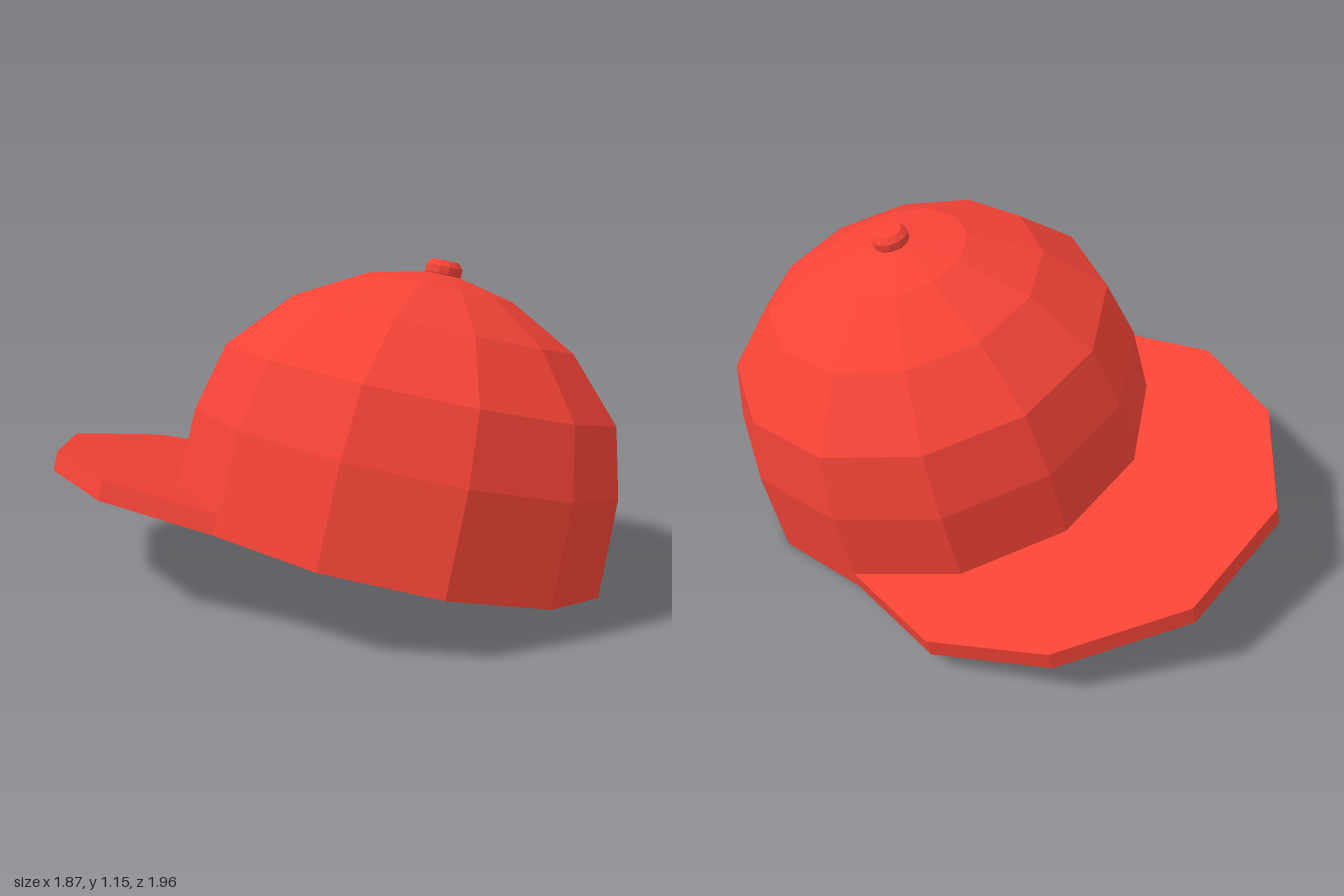
import * as THREE from 'three';

const SIDES = 12;
const rad = THREE.MathUtils.degToRad;

export function createModel() {
  const model = new THREE.Group();
  model.name = 'cap';
  const red = new THREE.MeshStandardMaterial({ color: 0xf44336, flatShading: true });

  // Twelve-sided ring profile, turned so a flat panel faces the brim (+z)
  const lathe = (name, points) => {
    const profile = points.map(([r, y]) => new THREE.Vector2(r, y));
    const mesh = new THREE.Mesh(
      new THREE.LatheGeometry(profile, SIDES, rad(15), Math.PI * 2), red);
    mesh.name = name;
    return mesh;
  };

  // Crown: hollow dome, inner wall down to the rim, then outer wall up
  const crown = lathe('crown', [
    [0, 0.9], [0.24, 0.85], [0.45, 0.73], [0.63, 0.54], [0.68, 0.33], [0.69, 0],
    [0.76, 0], [0.75, 0.34], [0.69, 0.575], [0.498, 0.78], [0.26, 0.907], [0, 0.965],
  ]);

  // Button on top
  const button = lathe('topButton', [
    [0.05, 0.93], [0.065, 0.955], [0.065, 0.98], [0.048, 1.0], [0, 1.0],
  ]);

  // Brim: flat plate, outer edge mirrored, inner edge following the crown
  const half = [[0.735, 0.2], [0.81, 0.63], [0.635, 1.015], [0.246, 1.3]];
  const outer = [...half, ...half.map(([x, y]) => [-x, y]).reverse()];
  const inner = [-45, -15, 15, 45].map(a =>
    [0.757 * Math.sin(rad(a)), 0.757 * Math.cos(rad(a))]);
  const shape = new THREE.Shape([...outer, ...inner].map(([x, y]) => new THREE.Vector2(x, y)));
  const brimGeometry = new THREE.ExtrudeGeometry(shape, { depth: 0.07, bevelEnabled: false });
  brimGeometry.rotateX(Math.PI / 2).translate(0, 0.07, 0);
  const brim = new THREE.Mesh(brimGeometry, red);
  brim.name = 'brim';

  // Turn the brim to the back right, then tip the cap onto its rim
  const turned = new THREE.Group();
  turned.name = 'turnedCap';
  turned.rotation.y = rad(215);
  turned.add(crown, button, brim);

  const tilted = new THREE.Group();
  tilted.name = 'tiltedCap';
  tilted.quaternion.setFromUnitVectors(
    new THREE.Vector3(0, 1, 0), new THREE.Vector3(0.225, 0.974, -0.02).normalize());
  tilted.position.set(0.122, 0.177, 0.235);
  tilted.add(turned);
  model.add(tilted);
  return model;
}
